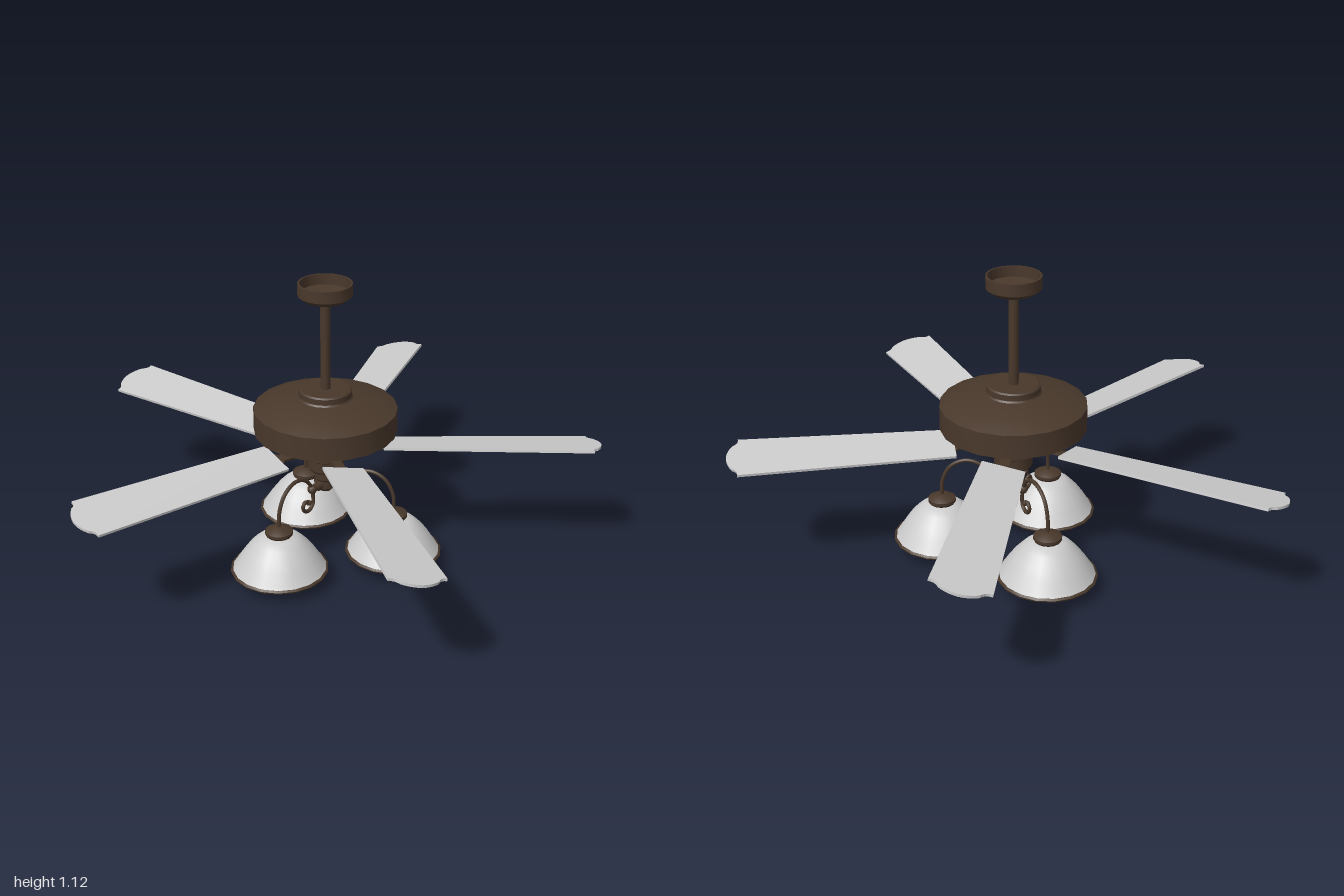
import * as THREE from 'three';
import { toCreasedNormals } from 'three/addons/utils/BufferGeometryUtils.js';

const AXIS_Z = -0.08;
const bronze = new THREE.MeshStandardMaterial({ color: 0x49382b });
const grey = new THREE.MeshStandardMaterial({ color: 0xcccccc });
const glass = new THREE.MeshStandardMaterial({ color: 0xcccccc, side: THREE.DoubleSide });

function add(parent, name, geometry, material) {
  const mesh = new THREE.Mesh(geometry, material);
  mesh.name = name;
  parent.add(mesh);
  return mesh;
}

// Turned part from [radius, height] pairs, listed from the bottom outwards and up
function turned(parent, name, profile, sides, material = bronze, crease = 0.5) {
  const points = profile.map(([r, y]) => new THREE.Vector2(r, y));
  return add(parent, name, toCreasedNormals(new THREE.LatheGeometry(points, sides), crease), material);
}

// Flat outline drawn with its length along y, laid down to run along +z
function plate(shape, thickness) {
  const geometry = new THREE.ExtrudeGeometry(shape, { depth: thickness, bevelEnabled: false, curveSegments: 5 });
  return geometry.translate(0, 0, -thickness / 2).rotateX(Math.PI / 2);
}

function bladeShape() {
  const s = new THREE.Shape();
  s.moveTo(-0.08, 0.22);
  s.lineTo(0.08, 0.22);
  s.lineTo(0.103, 1.005);
  s.quadraticCurveTo(0.08, 1.0, 0.066, 1.024);
  s.quadraticCurveTo(0.035, 1.045, 0, 1.046);
  s.quadraticCurveTo(-0.035, 1.045, -0.066, 1.024);
  s.quadraticCurveTo(-0.08, 1.0, -0.103, 1.005);
  s.closePath();
  return s;
}

// Blade iron: slim neck opening into a pointed pad
function ironShape() {
  const s = new THREE.Shape();
  s.moveTo(-0.02, 0.07);
  s.lineTo(0.02, 0.07);
  s.lineTo(0.018, 0.2);
  s.quadraticCurveTo(0.05, 0.22, 0.045, 0.27);
  s.quadraticCurveTo(0.03, 0.3, 0, 0.33);
  s.quadraticCurveTo(-0.03, 0.3, -0.045, 0.27);
  s.quadraticCurveTo(-0.05, 0.22, -0.018, 0.2);
  s.closePath();
  return s;
}

function createBlade(bladeGeometry, ironGeometry) {
  const blade = new THREE.Group();
  blade.name = 'blade';
  const pitched = new THREE.Group();
  pitched.name = 'pitchedBlade';
  pitched.position.y = 0.485;
  pitched.rotation.z = -0.19;
  add(pitched, 'bladePanel', bladeGeometry, grey);
  add(pitched, 'bladeIron', ironGeometry, bronze).position.y = -0.009;
  for (const [x, z] of [[-0.025, 0.25], [0.025, 0.25], [0, 0.295]]) {
    add(pitched, 'bladeScrew', new THREE.CylinderGeometry(0.007, 0.007, 0.006, 8), bronze).position.set(x, -0.016, z);
  }
  blade.add(pitched);
  return blade;
}

// Lamp on its scrolled arm, reaching out along +z
function createLamp(reach) {
  const lamp = new THREE.Group();
  lamp.name = 'lamp';
  const path = [
    [reach, 0.22], [reach - 0.004, 0.3], [reach - 0.035, 0.36], [0.18, 0.388], [0.125, 0.375],
    [0.088, 0.335], [0.075, 0.29], [0.078, 0.25], [0.1, 0.233], [0.125, 0.24],
    [0.134, 0.263], [0.118, 0.279], [0.102, 0.268],
  ].map(([z, y]) => new THREE.Vector3(0, y, z));
  add(lamp, 'scrollArm', new THREE.TubeGeometry(new THREE.CatmullRomCurve3(path), 48, 0.0075, 8), bronze);
  add(lamp, 'scrollEnd', new THREE.SphereGeometry(0.011, 10, 8), bronze).position.copy(path.at(-1));

  // Stub joining the arm to the stem
  const stub = add(lamp, 'armStub', new THREE.CylinderGeometry(0.013, 0.018, 0.06, 10), bronze);
  stub.rotation.x = Math.PI / 2;
  stub.position.set(0, 0.318, 0.055);
  add(lamp, 'armKnob', new THREE.SphereGeometry(0.019, 10, 8), bronze).position.set(0, 0.318, 0.08);

  const head = new THREE.Group();
  head.name = 'lampHead';
  head.position.z = reach;
  turned(head, 'lampCap', [[0, 0.2], [0.046, 0.2], [0.053, 0.212], [0.053, 0.223], [0.035, 0.233], [0.012, 0.24], [0, 0.24]], 16);
  turned(head, 'shade', [[0.182, 0.062], [0.168, 0.082], [0.148, 0.114], [0.122, 0.15], [0.092, 0.182], [0.068, 0.2], [0.04, 0.207]], 18, glass, 0.7);
  turned(head, 'shadeRim', [[0.174, 0.066], [0.176, 0.057], [0.185, 0.057], [0.187, 0.063], [0.18, 0.069], [0.174, 0.066]], 18);
  add(head, 'bulb', new THREE.SphereGeometry(0.078, 18, 14), grey).position.y = 0.083;
  add(head, 'socket', new THREE.CylinderGeometry(0.03, 0.03, 0.06, 12), bronze).position.y = 0.178;
  lamp.add(head);
  return lamp;
}

export function createModel() {
  const model = new THREE.Group();
  model.name = 'ceilingFan';
  const fan = new THREE.Group();
  fan.name = 'fan';
  fan.position.z = AXIS_Z;
  model.add(fan);

  // Ceiling canopy, open at the top, and the down rod
  turned(fan, 'canopy', [[0, 1.06], [0.06, 1.06], [0.08, 1.068], [0.101, 1.085], [0.101, 1.13],
    [0.094, 1.13], [0.094, 1.09], [0.02, 1.075], [0, 1.075]], 20);
  add(fan, 'downRod', new THREE.CylinderGeometry(0.019, 0.019, 0.39, 12), bronze).position.y = 0.885;

  // Motor housing with its top collar
  turned(fan, 'motorHousing', [[0, 0.505], [0.16, 0.505], [0.185, 0.515], [0.272, 0.547], [0.272, 0.637],
    [0.2, 0.667], [0.105, 0.682], [0.1, 0.688], [0.1, 0.71], [0.094, 0.715], [0, 0.715]], 20);
  turned(fan, 'flywheel', [[0, 0.472], [0.095, 0.472], [0.098, 0.48], [0.098, 0.51], [0, 0.51]], 20);

  // Switch cup and the stem that carries the lamps
  turned(fan, 'switchCup', [[0, 0.382], [0.066, 0.382], [0.072, 0.39], [0.072, 0.43], [0.079, 0.435], [0.079, 0.475], [0, 0.475]], 18);
  turned(fan, 'lampStem', [[0, 0.285], [0.022, 0.287], [0.03, 0.297], [0.036, 0.303], [0.036, 0.335],
    [0.042, 0.342], [0.042, 0.372], [0.034, 0.383], [0, 0.383]], 16);

  // Five pitched blades
  const bladeGeometry = plate(bladeShape(), 0.01);
  const ironGeometry = plate(ironShape(), 0.01);
  for (let i = 0; i < 5; i++) {
    const blade = createBlade(bladeGeometry, ironGeometry);
    blade.rotation.y = (i * Math.PI * 2) / 5;
    fan.add(blade);
  }

  // Three lamps: one behind, two in front
  for (const [x, z] of [[0, -0.278], [0.228, 0.148], [-0.228, 0.148]]) {
    const lamp = createLamp(Math.hypot(x, z));
    lamp.rotation.y = Math.atan2(x, z);
    fan.add(lamp);
  }
  return model;
}
